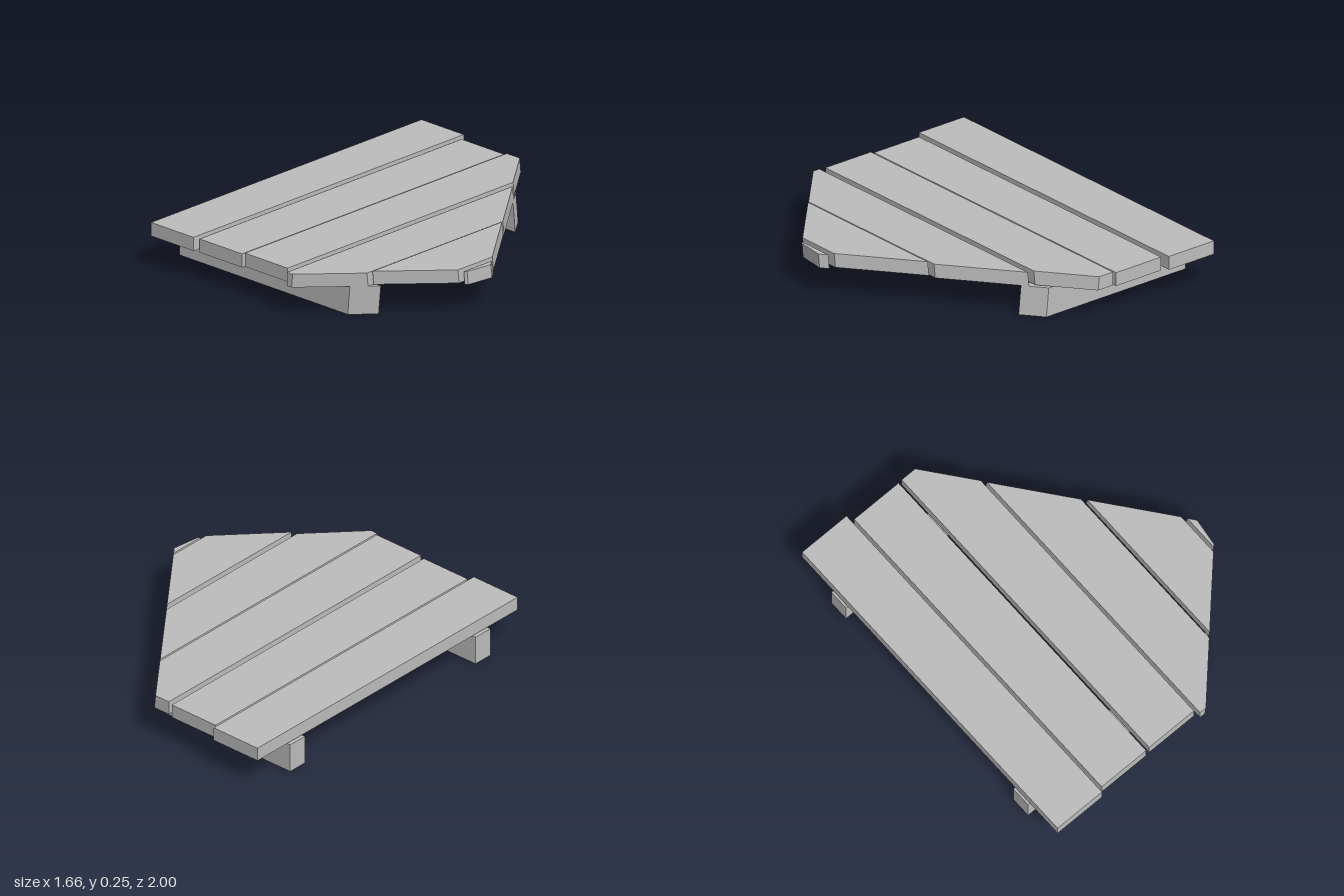
import * as THREE from 'three';

// Slanted cuts that trim the platform: z of the back cut, x of the front and tip cuts
const backZ = (x, y) => -0.96 + (x + 0.08 - 0.1 * (0.24 - y)) / 0.785;
const backX = (z, y) => -0.08 + 0.785 * (z + 0.96) + 0.1 * (0.24 - y);
const frontX = (z, y) => 0.19 + 0.952 * (1 - z) + 0.1 * (y - 0.24);
const frontZ = (x, y) => 1 - (x - 0.19 - 0.1 * (y - 0.24)) / 0.952;

// Solid between two heights; outline(y) lists [x, z] from back left, by the front, to back right
function prism(outline, y0, y1) {
  const low = outline(y0).map(([x, z]) => [x, y0, z]);
  const high = outline(y1).map(([x, z]) => [x, y1, z]);
  const pos = [];
  const tri = (a, b, c) => pos.push(...a, ...b, ...c);
  const n = low.length;
  for (let i = 0; i < n; i++) {
    const j = (i + 1) % n;
    tri(low[i], low[j], high[j]);
    tri(low[i], high[j], high[i]);
    if (i > 0 && i < n - 1) {
      tri(high[0], high[i], high[i + 1]);
      tri(low[0], low[i + 1], low[i]);
    }
  }
  const geo = new THREE.BufferGeometry();
  geo.setAttribute('position', new THREE.Float32BufferAttribute(pos, 3));
  geo.computeVertexNormals();
  return geo;
}

export function createModel() {
  const group = new THREE.Group();
  const wood = new THREE.MeshStandardMaterial({ color: 0xbcbcbc });
  wood.name = 'grey wood';

  const add = (name, outline, y0, y1) => {
    const mesh = new THREE.Mesh(prism(outline, y0, y1), wood);
    mesh.name = name;
    group.add(mesh);
  };

  // Deck planks, alternately a little higher and lower
  const planks = [
    () => [[-0.82, -1], [-0.82, 1], [-0.518, 1], [-0.518, -1]],
    () => [[-0.498, -0.963], [-0.498, 0.975], [-0.196, 0.975], [-0.196, -0.963]],
    y => [[-0.175, -0.963], [-0.175, 0.975], [0.129, 0.975], [0.129, backZ(0.129, y)], [backX(-0.963, y), -0.963]],
    y => [[0.149, backZ(0.149, y)], [0.149, 1], [frontX(1, y), 1], [0.453, frontZ(0.453, y)], [0.453, backZ(0.453, y)]],
    y => [[0.473, backZ(0.473, y)], [0.473, frontZ(0.473, y)], [0.776, frontZ(0.776, y)], [0.776, backZ(0.776, y)]],
    y => [[0.796, backZ(0.796, y)], [0.796, frontZ(0.796, y)], [0.808, frontZ(0.808, y)], [0.828, backZ(0.828, y)]],
  ];
  planks.forEach((outline, i) => {
    const y0 = i % 2 ? 0.16 : 0.17;
    add('plank' + (i + 1), outline, y0, y0 + 0.075);
  });

  // Support beams, their ends trimmed by the same cuts
  add('frontBeam', y => [[-0.83, 0.665], [-0.83, 0.78], [frontX(0.78, y) - 0.005, 0.78], [frontX(0.665, y) - 0.005, 0.665]], 0, 0.16);
  add('backBeam', y => [[-0.83, -0.76], [-0.83, -0.645], [backX(-0.645, y), -0.645], [backX(-0.76, y), -0.76]], 0, 0.16);
  return group;
}
